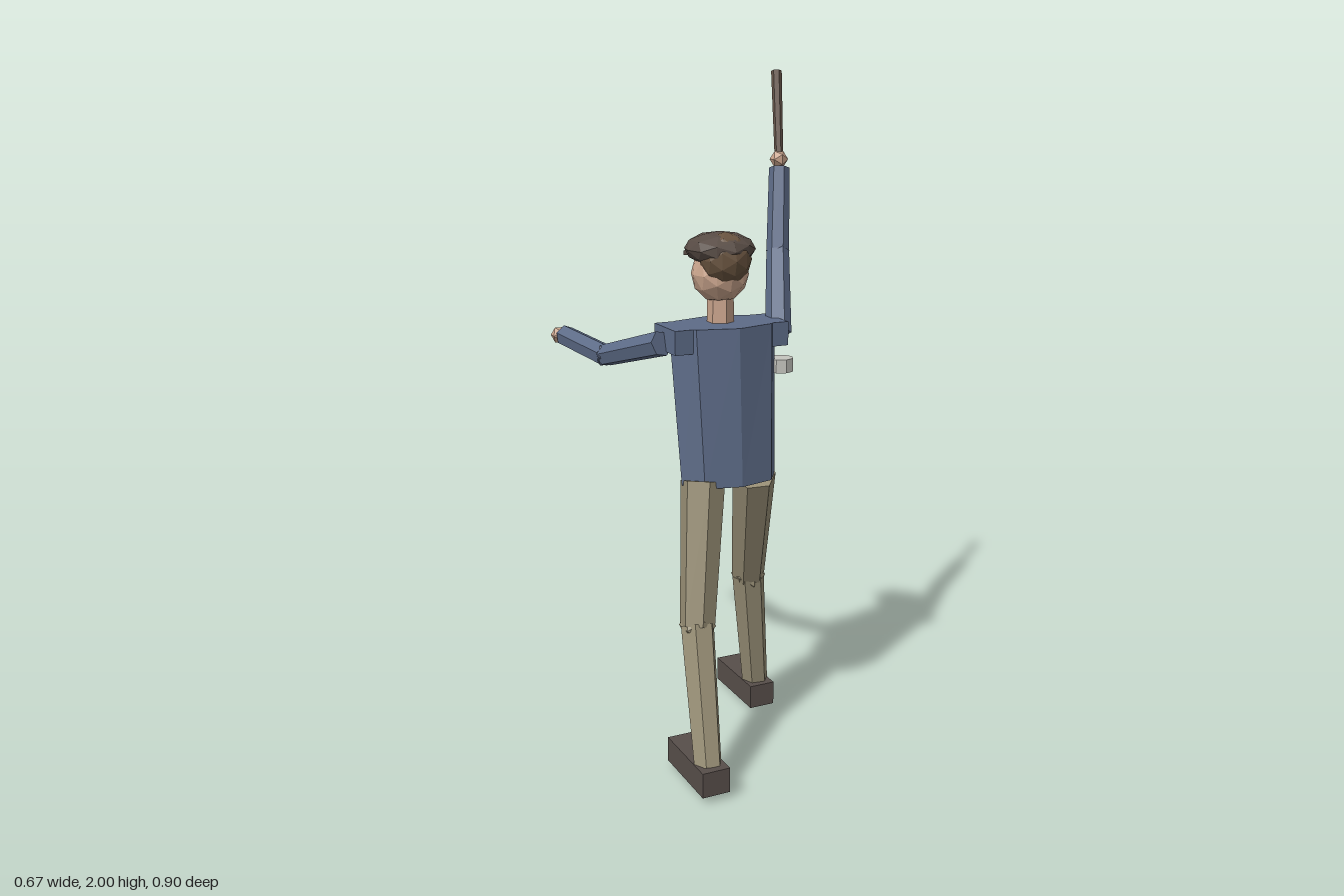
import * as THREE from 'three';

const mat = (name, color) => {
  const m = new THREE.MeshStandardMaterial({ color, flatShading: true });
  m.name = name;
  return m;
};

export function createModel() {
  const jacket = mat('jacketBlue', 0x5d6b87);
  const trouser = mat('trouserKhaki', 0x968d74);
  const leather = mat('shoeLeather', 0x574e4a);
  const felt = mat('capFelt', 0x574b44);
  const skin = mat('skin', 0xc9a48c);
  const hairBrown = mat('hairBrown', 0x68533f);
  const wood = mat('wood', 0x66554a);
  const pale = mat('paleMetal', 0xc4c4be);

  const model = new THREE.Group();
  const V = (p) => new THREE.Vector3(...p);

  const add = (name, geometry, material, pos = [0, 0, 0], scale = [1, 1, 1]) => {
    const mesh = new THREE.Mesh(geometry, material);
    mesh.name = name;
    mesh.position.set(...pos);
    mesh.scale.set(...scale);
    model.add(mesh);
    return mesh;
  };
  const box = (name, material, size, pos) => add(name, new THREE.BoxGeometry(...size), material, pos);
  const ball = (name, material, r, pos, detail = 0, scale) =>
    add(name, new THREE.IcosahedronGeometry(r, detail), material, pos, scale);

  // Tapered six-sided rod between two points
  const rod = (name, material, a, b, ra, rb) => {
    const dir = V(b).sub(V(a));
    const mesh = add(name, new THREE.CylinderGeometry(rb, ra, dir.length(), 6), material);
    mesh.position.copy(V(a).add(V(b)).multiplyScalar(0.5));
    mesh.quaternion.setFromUnitVectors(new THREE.Vector3(0, 1, 0), dir.normalize());
    return mesh;
  };
  // Two rods with a joint ball
  const limb = (names, material, pts, radii) => {
    rod(names[0], material, pts[0], pts[1], radii[0], radii[1]);
    rod(names[2], material, pts[1], pts[2], radii[1], radii[2]);
    ball(names[1], material, radii[1] * 1.04, pts[1]);
  };

  // Legs in mid-stride
  limb(['rightThigh', 'rightKnee', 'rightShin'], trouser,
    [[-0.08, 0.845, 0.135], [-0.14, 0.44, 0.225], [-0.187, 0.08, 0.395]], [0.066, 0.052, 0.042]);
  limb(['leftThigh', 'leftKnee', 'leftShin'], trouser,
    [[0.098, 0.835, 0.115], [0.158, 0.46, -0.035], [0.21, 0.055, -0.08]], [0.066, 0.052, 0.042]);
  box('rightShoe', leather, [0.085, 0.075, 0.24], [-0.187, 0.058, 0.33]);
  box('leftShoe', leather, [0.083, 0.075, 0.245], [0.205, 0.038, -0.143]);

  // Torso: eight sides, leaning and widening towards the shoulders
  const torso = new THREE.CylinderGeometry(1, 1, 1, 8);
  const p = torso.attributes.position;
  for (let i = 0; i < p.count; i++) {
    const t = p.getY(i) + 0.5;
    p.setXYZ(i,
      0.012 + p.getX(i) * (0.152 + 0.018 * t),
      0.835 + 0.46 * t,
      0.12 - 0.045 * t + p.getZ(i) * (0.09 + 0.02 * t));
  }
  torso.computeVertexNormals();
  add('torso', torso, jacket);
  box('shoulders', jacket, [0.36, 0.07, 0.145], [0.01, 1.26, 0.073]);
  box('frontPanel', wood, [0.17, 0.34, 0.025], [0.012, 1.07, 0.008]);
  add('sideCanister', new THREE.CylinderGeometry(0.04, 0.04, 0.04, 8), pale, [0.2, 1.155, 0.08]);

  // Arms, one raised with a baton and one reaching out
  limb(['leftUpperArm', 'leftElbow', 'leftForearm'], jacket,
    [[0.195, 1.25, 0.075], [0.252, 1.475, -0.04], [0.29, 1.715, -0.107]], [0.039, 0.034, 0.031]);
  ball('leftHand', skin, 0.028, [0.293, 1.74, -0.116]);
  rod('baton', wood, [0.294, 1.74, -0.117], [0.317, 1.998, -0.183], 0.013, 0.016);
  limb(['rightUpperArm', 'rightElbow', 'rightForearm'], jacket,
    [[-0.183, 1.25, 0.08], [-0.26, 1.178, -0.16], [-0.302, 1.2, -0.398]], [0.038, 0.034, 0.033]);
  ball('rightHand', skin, 0.028, [-0.311, 1.197, -0.425]);

  // Head
  add('neck', new THREE.CylinderGeometry(0.038, 0.04, 0.12, 6), skin, [0.012, 1.33, 0.06]);
  ball('head', skin, 0.084, [0.01, 1.435, 0.06], 1);
  ball('hair', hairBrown, 0.077, [0.01, 1.481, 0.093], 1);

  // Flat cap with peak
  ball('cap', felt, 1, [0.01, 1.507, 0.06], 1, [0.102, 0.05, 0.107]);
  const peak = box('capPeak', felt, [0.107, 0.014, 0.09], [0.01, 1.488, -0.03]);
  peak.rotation.x = -0.15;

  return model;
}
